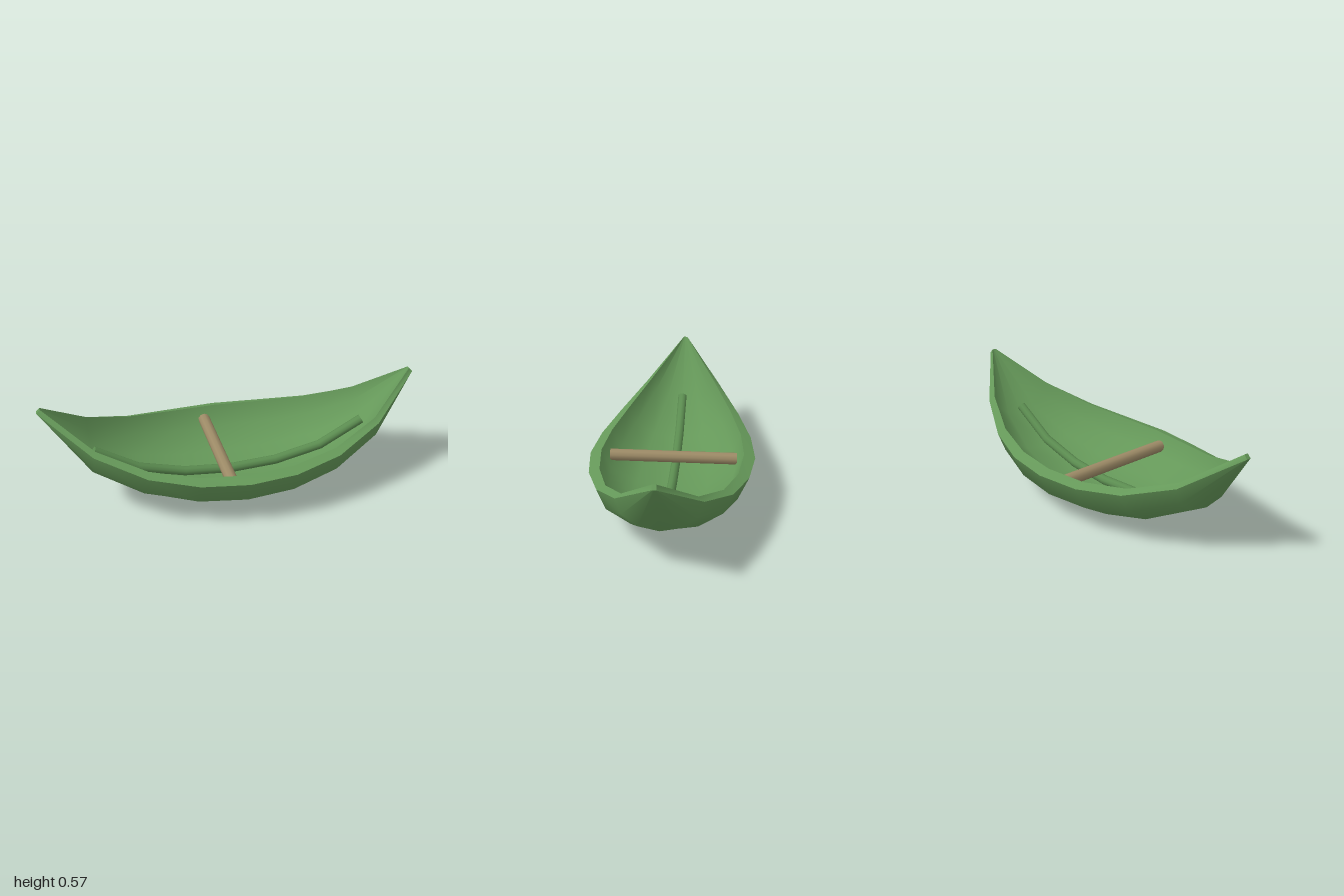
import * as THREE from 'three';

// Hull stations from the middle to the tip
const X = [0, 0.25, 0.5, 0.75, 1];
const KEEL = [0, 0.015, 0.075, 0.21, 0.555];
const RIM = [0.25, 0.256, 0.289, 0.376, 0.555];
const HALF = [0.44, 0.412, 0.336, 0.21, 0.012];
const STATIONS = [-4, -3, -2, -1, 0, 1, 2, 3, 4];

// Surface through rows of points; flip reverses the facing side
function loft(rows, flip = false) {
  const n = rows[0].length;
  const index = [];
  for (let i = 0; i < rows.length - 1; i++) {
    for (let j = 0; j < n - 1; j++) {
      const a = i * n + j, b = a + n, c = a + 1, d = b + 1;
      if (flip) index.push(a, c, b, b, c, d);
      else index.push(a, b, c, b, d, c);
    }
  }
  const geo = new THREE.BufferGeometry();
  geo.setAttribute('position', new THREE.Float32BufferAttribute(rows.flat(2), 3));
  geo.setIndex(index);
  geo.computeVertexNormals();
  return geo;
}

// Half-ellipse cross-section at a station; the inside is narrower and shallower
function section(s, inner) {
  const k = Math.abs(s);
  const scale = inner ? 0.865 : 1;
  const top = RIM[k] + (inner ? 0.02 : 0);
  const x = Math.sign(s) * X[k] * (inner ? 0.982 : 1);
  const row = [];
  for (let j = -3; j <= 3; j++) {
    const t = j * Math.PI / 6;
    row.push([
      x,
      top - scale * (RIM[k] - KEEL[k]) * Math.cos(t),
      scale * HALF[k] * Math.sin(t),
    ]);
  }
  return row;
}

// Ring of the midrib, square to its bent path
const RIB_X = [0, 0.25, 0.5, 0.73];
const RIB_Y = [0.085, 0.102, 0.162, 0.293];
const RIB_SLOPE = [0, 0.14, 0.38, 0.57];
function ribRing(s, radius) {
  const k = Math.abs(s), side = Math.sign(s);
  const slope = RIB_SLOPE[k] * side;
  const len = Math.hypot(1, slope);
  const row = [];
  for (let j = 0; j <= 10; j++) {
    const a = j * Math.PI / 5;
    const up = -radius * Math.cos(a) / len;
    row.push([side * RIB_X[k] - slope * up, RIB_Y[k] + up, radius * Math.sin(a)]);
  }
  return row;
}

export function createModel() {
  const leaf = new THREE.MeshStandardMaterial({ color: 0x659859 });
  leaf.name = 'leafGreen';
  const vein = new THREE.MeshStandardMaterial({ color: 0x5b8c50 });
  vein.name = 'veinGreen';
  const wood = new THREE.MeshStandardMaterial({ color: 0x9c8a66 });
  wood.name = 'twigBrown';

  const model = new THREE.Group();
  model.name = 'leafBoat';
  const add = (name, geo, mat, parent = model) => {
    const mesh = new THREE.Mesh(geo, mat);
    mesh.name = name;
    parent.add(mesh);
    return mesh;
  };

  // Hull skins
  const hull = new THREE.Group();
  hull.name = 'hull';
  model.add(hull);
  const outer = STATIONS.map(s => section(s, false));
  const inner = STATIONS.map(s => section(s, true));
  add('hullOutside', loft(outer), leaf, hull);
  add('hullInside', loft(inner, true), leaf, hull);

  // Sloping rim along both sides
  add('leftRim', loft(outer.map((r, i) => [r[6], inner[i][6]])), leaf, hull);
  add('rightRim', loft(outer.map((r, i) => [r[0], inner[i][0]]), true), leaf, hull);

  // Blunt tips
  for (const [name, i, flip] of [['rightTip', 0, false], ['leftTip', 8, true]]) {
    add(name, loft(outer[i].map((p, j) => [p, inner[i][j]]), flip), leaf, hull);
  }

  // Midrib following the floor, with closed ends
  const rib = new THREE.Group();
  rib.name = 'midrib';
  model.add(rib);
  add('ribStem', loft([-3, -2, -1, 0, 1, 2, 3].map(s => ribRing(s, 0.025))), vein, rib);
  add('ribRightEnd', loft([ribRing(-3, 0), ribRing(-3, 0.025)]), vein, rib);
  add('ribLeftEnd', loft([ribRing(3, 0.025), ribRing(3, 0)]), vein, rib);

  // Twig seat across the hull
  const seat = add('seat', new THREE.CylinderGeometry(0.032, 0.032, 0.685, 10), wood);
  seat.rotation.x = Math.PI / 2;
  seat.position.set(-0.07, 0.21, 0);

  return model;
}
